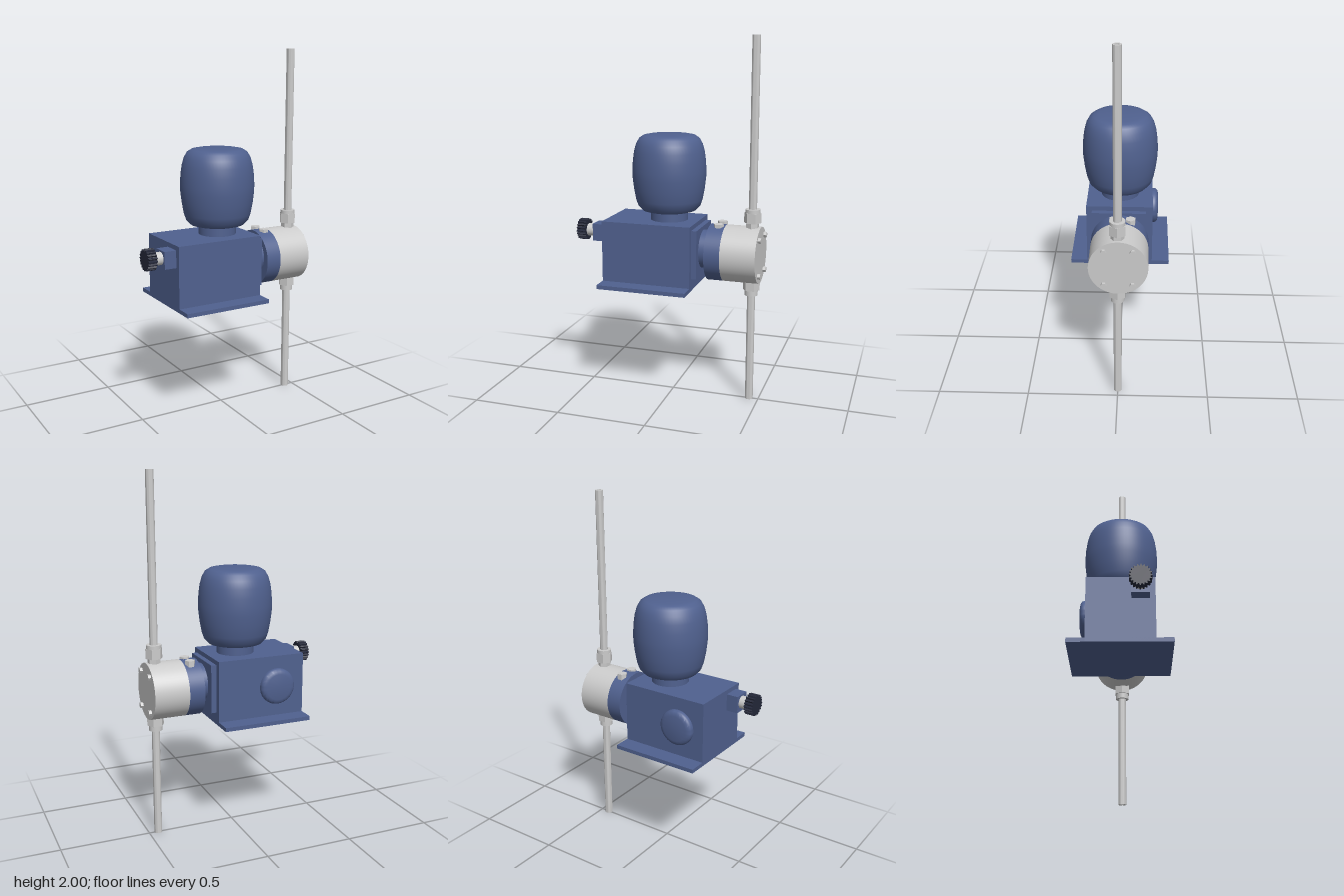
import * as THREE from 'three';
import { toCreasedNormals } from 'three/addons/utils/BufferGeometryUtils.js';

const paint = new THREE.MeshStandardMaterial({ color: 0x50618f });
const steel = new THREE.MeshStandardMaterial({ color: 0xcccccc });
const black = new THREE.MeshStandardMaterial({ color: 0x24283a });

export function createModel() {
  const model = new THREE.Group();

  function add(name, geometry, material, x = 0, y = 0, z = 0) {
    const mesh = new THREE.Mesh(geometry, material);
    mesh.name = name;
    mesh.position.set(x, y, z);
    model.add(mesh);
    return mesh;
  }
  // Box given by its low and high corners
  function box(name, material, [x0, y0, z0], [x1, y1, z1]) {
    return add(name, new THREE.BoxGeometry(x1 - x0, y1 - y0, z1 - z0), material,
      (x0 + x1) / 2, (y0 + y1) / 2, (z0 + z1) / 2);
  }
  // Cylinder lying along x
  function rodX(name, material, r, x0, x1, y, z, sides = 48) {
    const g = new THREE.CylinderGeometry(r, r, x1 - x0, sides).rotateZ(-Math.PI / 2);
    return add(name, sides < 9 ? toCreasedNormals(g, 0.5) : g, material, (x0 + x1) / 2, y, z);
  }
  // Cylinder standing along y
  function rodY(name, material, r, y0, y1, x, z, sides = 48) {
    const g = new THREE.CylinderGeometry(r, r, y1 - y0, sides);
    return add(name, sides < 9 ? toCreasedNormals(g, 0.5) : g, material, x, (y0 + y1) / 2, z);
  }
  function lathe(points, segments = 64) {
    const g = new THREE.LatheGeometry(points.map(p => new THREE.Vector2(...p)), segments);
    return toCreasedNormals(g, 0.7);
  }

  // Gearbox housing, foot plate and mounting pad
  box('housing', paint, [-0.355, 0.65, -0.18], [0.147, 1.005, 0.18]);
  box('footPlate', paint, [-0.355, 0.645, -0.275], [0.147, 0.667, 0.27]);
  box('mountingPad', paint, [0.147, 0.713, -0.143], [0.176, 0.98, 0.149]);

  // Motor with a barrel-shaped cover
  rodY('motorNeck', paint, 0.103, 1, 1.06, -0.023, 0);
  add('motorCover', lathe([
    [0, 1.055], [0.125, 1.055], [0.15, 1.062], [0.172, 1.085], [0.184, 1.12],
    [0.195, 1.18], [0.202, 1.24], [0.203, 1.28], [0.2, 1.335], [0.193, 1.385],
    [0.182, 1.425], [0.165, 1.455], [0.142, 1.47], [0.115, 1.475], [0, 1.475],
  ]), paint, -0.023, 0, 0);

  // Rounded cover on the back
  const cap = add('backCover', lathe([
    [0.1, 0], [0.1, 0.012], [0.096, 0.022], [0.087, 0.029], [0.072, 0.033], [0, 0.034],
  ]), paint, -0.195, 0.835, -0.18);
  cap.rotation.x = -Math.PI / 2;

  // Adjustment knob with knurled rim
  box('knobBlock', paint, [-0.422, 0.885, 0.055], [-0.355, 0.98, 0.15]);
  rodX('knobShaft', steel, 0.035, -0.47, -0.42, 0.936, 0.102, 32);
  const rim = new THREE.Shape();
  const teeth = 20;
  for (let i = 0; i < teeth * 4; i++) {
    const r = i % 4 < 2 ? 0.059 : 0.05;
    const a = (i / (teeth * 4)) * Math.PI * 2;
    rim[i ? 'lineTo' : 'moveTo'](r * Math.cos(a), r * Math.sin(a));
  }
  const knob = new THREE.ExtrudeGeometry(rim, { depth: 0.05, bevelEnabled: false });
  add('knob', knob.rotateY(Math.PI / 2), black, -0.515, 0.938, 0.102);

  // Pump head
  rodX('headNeck', paint, 0.105, 0.17, 0.22, 0.852, 0.008);
  rodX('headFlange', paint, 0.155, 0.215, 0.302, 0.836, -0.004, 64);
  rodX('pumpHead', steel, 0.155, 0.302, 0.495, 0.836, -0.004, 64);
  for (const z of [-0.079, 0.071]) {
    for (const y of [0.737, 0.935]) rodX('headBolt', steel, 0.016, 0.49, 0.511, y, z, 6);
  }
  for (const z of [-0.063, 0.025]) {
    rodY('flangeBolt', steel, 0.028, 0.96, 1, 0.267, z, 6).rotation.y = Math.PI / 6;
  }

  // Fittings and hollow pipes above and below the head
  const px = 0.448;
  rodY('upperFittingBase', steel, 0.036, 0.96, 1.02, px, 0, 6);
  rodY('upperNut', steel, 0.047, 1.015, 1.07, px, 0, 6).rotation.y = Math.PI / 6;
  rodY('upperCollar', steel, 0.041, 1.07, 1.09, px, 0, 32);
  rodY('lowerNut', steel, 0.047, 0.64, 0.7, px, 0, 6).rotation.y = Math.PI / 6;
  rodY('lowerCollar', steel, 0.036, 0.61, 0.64, px, 0, 32);
  const pipe = (name, y0, y1) => add(name, lathe([
    [0.012, y0], [0.022, y0], [0.022, y1], [0.012, y1], [0.012, y0],
  ], 32), steel, px, 0, 0);
  pipe('upperPipe', 1.05, 2);
  pipe('lowerPipe', 0, 0.65);

  return model;
}
